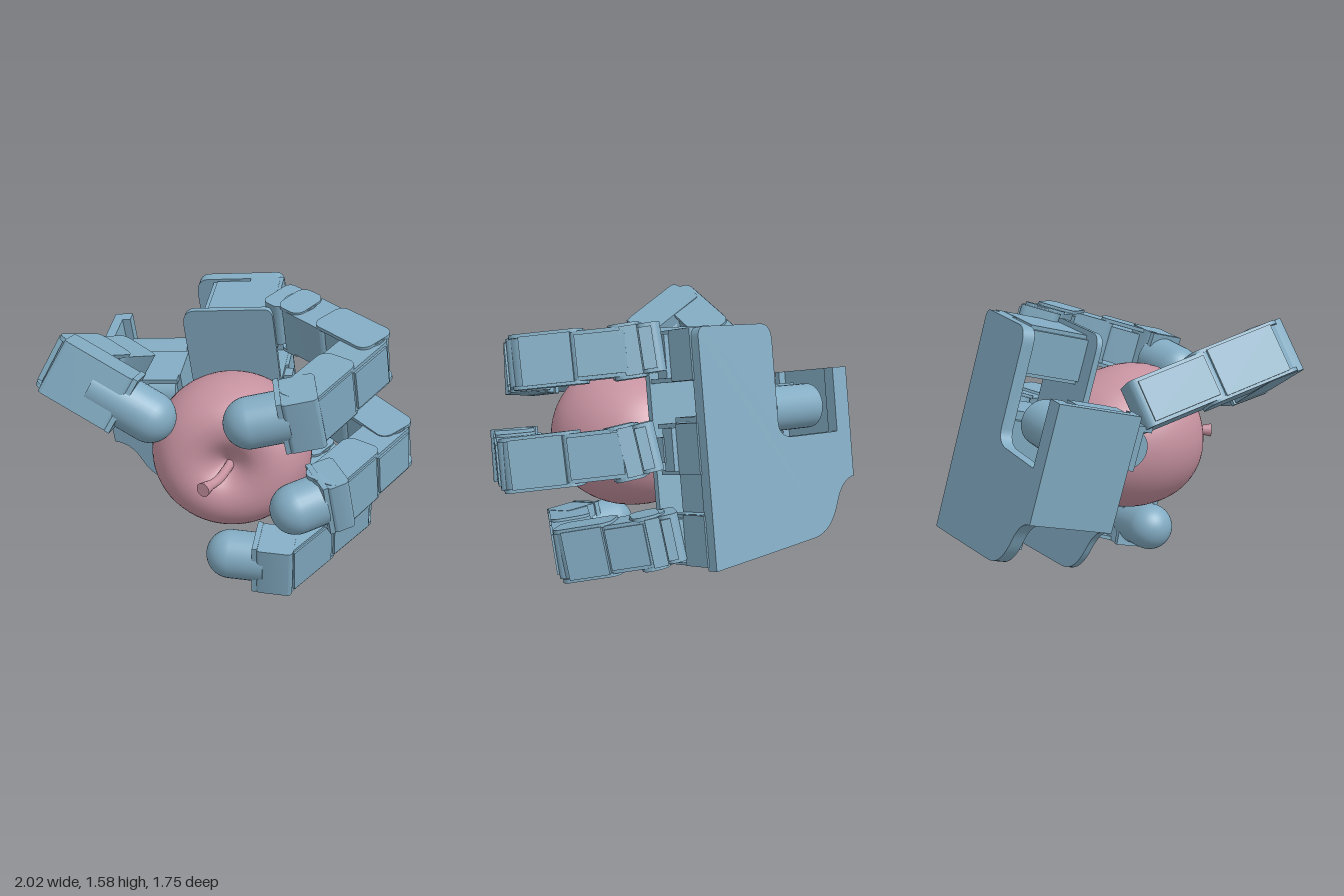
import * as THREE from 'three';
import { toCreasedNormals } from 'three/addons/utils/BufferGeometryUtils.js';

const V = (a) => new THREE.Vector3(...a);
const blue = new THREE.MeshStandardMaterial({ color: 0x82abc2 });
const pink = new THREE.MeshStandardMaterial({ color: 0xc692a0 });

function mesh(geo, name, parent, pos = [0, 0, 0], mat = blue) {
  const m = new THREE.Mesh(geo, mat);
  m.name = name;
  m.position.set(...pos);
  parent.add(m);
  return m;
}

// Box given by its min and max corners
function box(parent, name, a, b) {
  const size = a.map((v, i) => b[i] - v);
  return mesh(new THREE.BoxGeometry(...size), name, parent, a.map((v, i) => (v + b[i]) / 2));
}

// Rounded rectangle x0..x1, y0..y1 extruded along z and centred on z = 0
function slab(x0, x1, y0, y1, r, depth) {
  const s = new THREE.Shape();
  s.moveTo(x0 + r, y0).lineTo(x1 - r, y0);
  s.absarc(x1 - r, y0 + r, r, -Math.PI / 2, 0);
  s.absarc(x1 - r, y1 - r, r, 0, Math.PI / 2);
  s.absarc(x0 + r, y1 - r, r, Math.PI / 2, Math.PI);
  s.absarc(x0 + r, y0 + r, r, Math.PI, Math.PI * 1.5);
  const g = new THREE.ExtrudeGeometry(s, { depth, bevelEnabled: false, curveSegments: 6 });
  g.translate(0, 0, -depth / 2);
  return toCreasedNormals(g, 0.6);
}

// Group at a, local x towards b, local y to the outer side, local z along the joint axis
function frame(a, b, up, name, parent) {
  const dir = b.clone().sub(a).normalize();
  const outer = up.clone().cross(dir).normalize();
  const axis = dir.clone().cross(outer);
  const g = new THREE.Group();
  g.name = name;
  g.quaternion.setFromRotationMatrix(new THREE.Matrix4().makeBasis(dir, outer, axis));
  g.position.copy(a);
  parent.add(g);
  return g;
}

// Motor body held in a bracket, with a pivot at the far joint
function link(a, b, up, name, parent) {
  const g = frame(a, b, up, name, parent);
  const L = a.distanceTo(b), T = 0.115, H = 0.27;
  mesh(slab(-0.05, L * 0.56, -T, T, 0.045, H), 'motorBody', g);
  mesh(slab(L * 0.5, L + 0.06, -T + 0.02, T - 0.02, 0.05, H - 0.05), 'innerArm', g);
  for (const s of [-1, 1])
    mesh(slab(L * 0.42, L + 0.09, -T, T, 0.06, 0.022), 'bracketCheek', g, [0, 0, s * (H / 2 + 0.005)]);
  box(g, 'outerPlate', [L * 0.54, T - 0.02, -H / 2], [L + 0.03, T + 0.01, H / 2]);
  box(g, 'outerCover', [0.0, T - 0.01, -H / 2 + 0.02], [L * 0.5, T + 0.012, H / 2 - 0.02]);
  const pivot = mesh(new THREE.CylinderGeometry(0.1, 0.1, H + 0.02, 24), 'pivot', g, [L, 0, 0]);
  pivot.rotation.x = Math.PI / 2;
}

// Chain of links with a round pad on the end; hold is the share of the last part inside its holder
function finger(name, points, up, hold, parent) {
  const g = new THREE.Group();
  g.name = name;
  parent.add(g);
  const p = points.map(V), n = p.length;
  for (let i = 0; i < n - 2; i++) link(p[i], p[i + 1], up, 'link', g);
  const end = frame(p[n - 2], p[n - 1], up, 'fingertip', g);
  const L = p[n - 2].distanceTo(p[n - 1]), R = 0.14;
  mesh(slab(-0.08, L * hold, -0.115, 0.13, 0.03, 0.31), 'tipHolder', end);
  box(end, 'tipFlange', [L * hold - 0.01, -0.12, -0.16], [L * hold + 0.02, 0.12, 0.16]);
  const barrel = mesh(new THREE.CylinderGeometry(R, R, L * 0.7, 32, 1), 'padBarrel', end, [L * 0.65, 0, 0]);
  const dome = mesh(new THREE.SphereGeometry(R, 32, 12, 0, Math.PI * 2, 0, Math.PI / 2), 'padDome', end, [L, 0, 0]);
  barrel.rotation.z = dome.rotation.z = -Math.PI / 2;
}

// Palm plate with a notch for the thumb motor and a scooped lower corner
function palmPlate(parent, name, w, depth, top) {
  const s = new THREE.Shape();
  s.moveTo(-0.81, 0.51).lineTo(-0.81, -0.13);
  s.quadraticCurveTo(-0.71, -0.14, -0.66, -0.27);
  s.quadraticCurveTo(-0.6, -0.43, -0.46, -0.45);
  s.lineTo(0.0, -0.5).lineTo(0.29, -0.53).lineTo(0.29, top - 0.06);
  s.quadraticCurveTo(0.29, top, 0.24, top).lineTo(-0.16, top);
  s.quadraticCurveTo(-0.24, top, -0.24, top - 0.1);
  s.lineTo(-0.24, 0.22).quadraticCurveTo(-0.25, 0.14, -0.35, 0.14);
  s.lineTo(-0.7, 0.14).lineTo(-0.7, 0.51);
  const g = new THREE.ExtrudeGeometry(s, { depth, bevelEnabled: false, curveSegments: 10 });
  mesh(toCreasedNormals(g, 0.6), name, parent, [0, 0, w]);
}

// Round drum lying across the palm
function drum(parent, r, y, z) {
  const d = mesh(new THREE.CylinderGeometry(r, r, 0.36, 28), 'thumbDrum', parent, [-0.49, y, z]);
  d.rotation.z = Math.PI / 2;
}

function palm(parent) {
  const g = new THREE.Group();
  g.name = 'palm';
  g.position.set(0, 0.8, -0.74);
  g.rotation.set(0.235, -0.07, 0.1);
  parent.add(g);

  // Two plates joined by a side flange
  palmPlate(g, 'backPlate', 0, 0.07, 0.78);
  palmPlate(g, 'frontPlate', 0.45, 0.035, 0.81);
  box(g, 'thumbFlange', [-0.81, -0.13, 0.03], [-0.75, 0.51, 0.47]);
  box(g, 'lowerHousing', [-0.1, -0.45, 0.06], [0.2, 0.3, 0.36]);

  // Knuckle motors and stepped brackets, one set for each finger
  for (const [v, deep] of [[0.64, 0.46], [0.13, 0.42], [-0.37, 0.36]]) {
    box(g, 'knuckleMotor', [-0.13, v - 0.12, 0.06], [0.16, v + 0.12, deep]);
    box(g, 'knuckleBase', [0.1, v - 0.14, 0.06], [0.3, v + 0.14, 0.24]);
    box(g, 'knuckleStep', [0.15, v - 0.12, 0.24], [0.33, v + 0.12, 0.32]);
    box(g, 'knuckleStep', [0.17, v - 0.07, 0.31], [0.34, v + 0.07, 0.38]);
    for (const e of [-1, 1])
      box(g, 'knuckleEar', [-0.1, v + e * 0.13 - 0.012, 0.1], [0.28, v + e * 0.13 + 0.012, deep]);
  }

  // Thumb motor between two round drums
  drum(g, 0.13, 0.3, 0.2);
  box(g, 'thumbMotor', [-0.7, 0.19, 0.33], [-0.28, 0.44, 0.59]);
  drum(g, 0.11, 0.3, 0.55);
  box(g, 'thumbCrossbar', [-0.7, 0.41, 0.56], [-0.29, 0.44, 0.64]);
}

function apple(parent) {
  const g = new THREE.Group();
  g.name = 'apple';
  g.position.set(-0.015, 0.785, 0.22);
  g.rotation.x = Math.PI / 2 - 0.08;
  g.scale.z = 0.95;
  parent.add(g);
  const profile = [[0, -0.37], [0.05, -0.41], [0.13, -0.425], [0.25, -0.37], [0.36, -0.25], [0.43, -0.08],
    [0.45, 0.08], [0.425, 0.23], [0.35, 0.35], [0.25, 0.4], [0.15, 0.39], [0.06, 0.33], [0, 0.28]];
  const curve = new THREE.SplineCurve(profile.map(([r, h]) => new THREE.Vector2(r, h)));
  const pts = curve.getPoints(48).map((p) => p.setX(Math.max(0, p.x)));
  mesh(new THREE.LatheGeometry(pts, 56), 'fruit', g, undefined, pink);

  // Curved stem, thicker at its free end
  const path = [[0, 0.79, 0.48], [-0.02, 0.79, 0.6], [-0.05, 0.78, 0.7], [-0.1, 0.775, 0.79]].map(V);
  const stem = new THREE.CatmullRomCurve3(path);
  mesh(new THREE.TubeGeometry(stem, 16, 0.026, 12), 'stem', parent, undefined, pink);
  const knob = mesh(new THREE.CylinderGeometry(0.04, 0.026, 0.07, 16), 'stemEnd', parent, [-0.1, 0.775, 0.785], pink);
  knob.quaternion.setFromUnitVectors(V([0, 1, 0]), stem.getTangent(1));
}

export function createModel() {
  const model = new THREE.Group();
  model.name = 'mechanicalHandWithApple';
  palm(model);
  const up = V([-0.1, 0.96, 0.24]);
  finger('upperFinger', [[0.23, 1.42, -0.22], [0.34, 1.4, -0.13], [0.73, 1.34, 0.25], [0.41, 1.19, 0.69], [0.12, 1.13, 0.72]], up, 0.4, model);
  finger('middleFinger', [[0.38, 0.91, -0.34], [0.48, 0.885, -0.27], [0.87, 0.8, 0.17], [0.55, 0.69, 0.64], [0.37, 0.64, 0.72]], up, 0.25, model);
  finger('lowerFinger', [[0.33, 0.42, -0.47], [0.42, 0.4, -0.41], [0.67, 0.3, -0.06], [0.28, 0.18, 0.46], [-0.01, 0.19, 0.44]], V([0, 0.97, 0.22]), 0.45, model);
  finger('thumb', [[-0.67, 1.12, -0.08], [-0.84, 1.36, 0.64], [-0.41, 1.13, 0.69]], V([-0.46, -0.87, 0.17]), 0.68, model);
  apple(model);
  return model;
}
